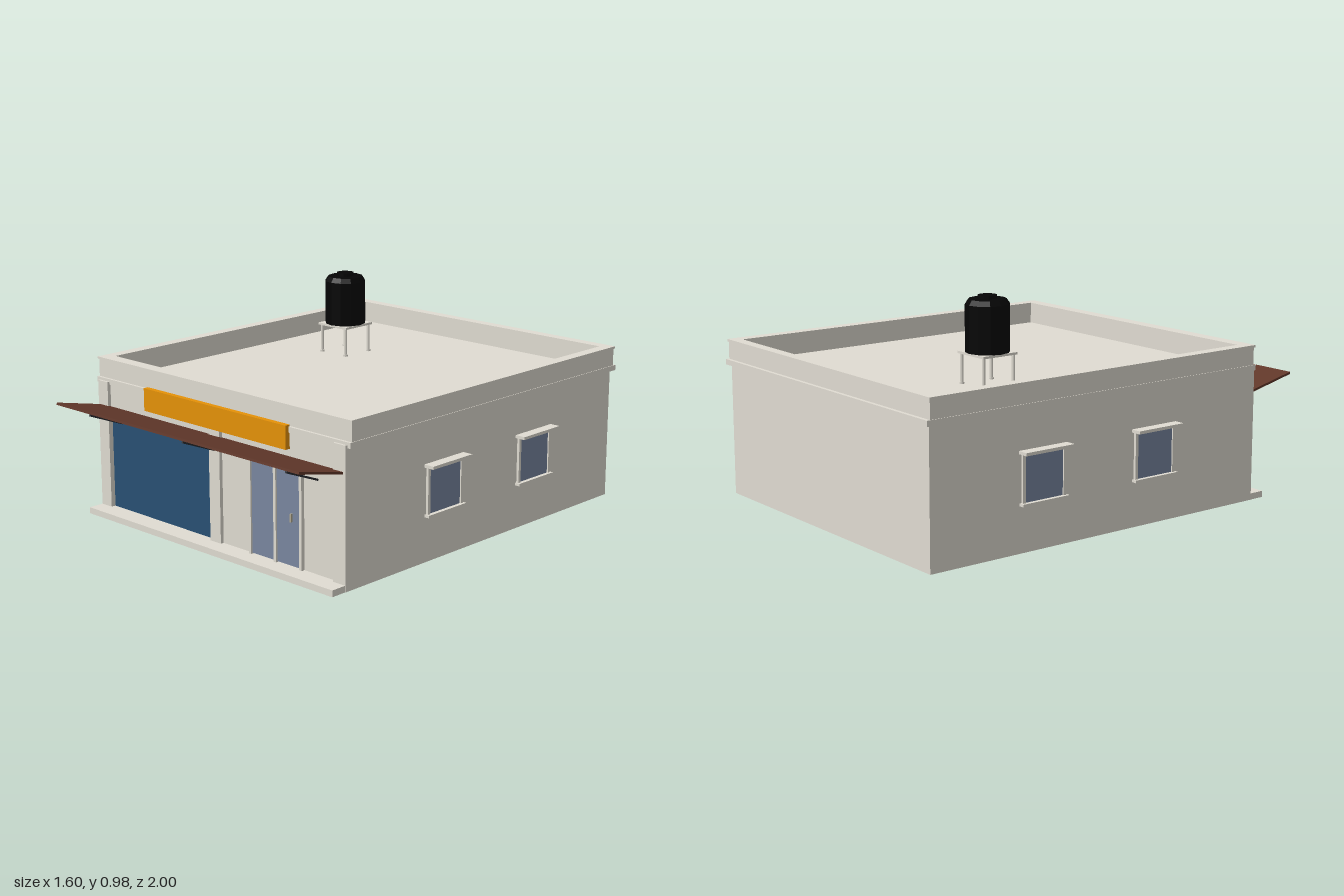
import * as THREE from 'three';

const mat = (name, color) => {
  const m = new THREE.MeshStandardMaterial({ color });
  m.name = name;
  return m;
};

export function createModel() {
  const plaster = mat('plaster', 0xe0dcd2);
  const brown = mat('awning brown', 0x62382a);
  const orange = mat('sign orange', 0xe69208);
  const blue = mat('shutter blue', 0x285073);
  const glass = mat('glass', 0x7987a0);
  const black = mat('tank black', 0x050505);
  const iron = mat('dark iron', 0x2a2c30);
  const brass = mat('handle', 0xb0a890);

  const model = new THREE.Group();
  model.name = 'shop';

  const add = (name, geometry, material, parent = model) => {
    const m = new THREE.Mesh(geometry, material);
    m.name = name;
    parent.add(m);
    return m;
  };
  // box given by its extents along each axis
  const box = (name, [x0, x1], [y0, y1], [z0, z1], material = plaster, parent = model) => {
    const m = add(name, new THREE.BoxGeometry(x1 - x0, y1 - y0, z1 - z0), material, parent);
    m.position.set((x0 + x1) / 2, (y0 + y1) / 2, (z0 + z1) / 2);
    return m;
  };
  // rectangular ring lying flat, with a rectangular hole; outline runs counter-clockwise
  const ring = (name, [x, z0, z1], [hx, hz0, hz1], [y0, y1]) => {
    const rect = (path, w, a, b) =>
      path.moveTo(-w, -b).lineTo(w, -b).lineTo(w, -a).lineTo(-w, -a).closePath();
    const shape = rect(new THREE.Shape(), x, z0, z1);
    shape.holes.push(rect(new THREE.Path(), hx, hz0, hz1));
    const g = new THREE.ExtrudeGeometry(shape, { depth: y1 - y0, bevelEnabled: false });
    g.rotateX(-Math.PI / 2).translate(0, y0, 0);
    return add(name, g, plaster);
  };
  // square bar between two points
  const bar = (name, a, b, width, thick, material) => {
    const dy = b[1] - a[1], dz = b[2] - a[2];
    const m = add(name, new THREE.BoxGeometry(width, thick, Math.hypot(dy, dz)), material);
    m.position.set(a[0], (a[1] + b[1]) / 2, (a[2] + b[2]) / 2);
    m.rotation.x = -Math.atan2(dy, dz);
    return m;
  };

  // shell: open underneath, with thin walls
  for (const s of [-1, 1]) {
    const x = [s * 0.75, s * 0.742].sort((a, b) => a - b);
    box('sideWall', x, [0, 0.6], [-0.98, 0.755]);
  }
  box('backWall', [-0.742, 0.742], [0, 0.6], [-0.98, -0.972]);
  box('roofSlab', [-0.742, 0.742], [0.585, 0.602], [-0.972, 0.735]);
  box('frontWall', [0.03, 0.685], [0.028, 0.6], [0.725, 0.742]);
  box('shutterLintel', [-0.685, -0.03], [0.48, 0.6], [0.725, 0.742]);
  box('frontSill', [-0.742, 0.742], [0, 0.028], [0.725, 0.745]);
  box('frontStep', [-0.748, 0.748], [0, 0.028], [0.745, 0.83]);
  for (const x of [-0.716, 0, 0.716])
    box('frontColumn', [x - 0.032, x + 0.032], [0.028, 0.6], [0.705, 0.758]);

  // cornice and parapet
  ring('cornice', [0.766, -1, 0.748], [0.72, -0.95, 0.69], [0.588, 0.612]);
  ring('parapet', [0.763, -0.984, 0.736], [0.716, -0.94, 0.682], [0.6, 0.69]);
  ring('parapetCap', [0.767, -0.988, 0.741], [0.716, -0.94, 0.682], [0.69, 0.7]);

  // shutter, awning with its struts, and sign board
  box('shutter', [-0.685, -0.03], [0.028, 0.48], [0.728, 0.736], blue);
  bar('awning', [0, 0.484, 0.745], [0, 0.54, 0.998], 1.472, 0.01, brown);
  for (const x of [-0.597, 0, 0.597])
    bar('awningStrut', [x, 0.43, 0.755], [x, 0.5, 0.93], 0.008, 0.008, iron);
  box('signBoard', [-0.43, 0.43], [0.52, 0.62], [0.742, 0.766], orange);

  // double glass door
  const door = new THREE.Group();
  door.name = 'door';
  model.add(door);
  for (const x of [0.209, 0.355, 0.502])
    box('doorPost', [x - 0.007, x + 0.007], [0.028, 0.468], [0.742, 0.758], plaster, door);
  box('doorHead', [0.202, 0.509], [0.455, 0.468], [0.742, 0.758], plaster, door);
  for (const [a, b] of [[0.216, 0.348], [0.362, 0.495]])
    box('doorGlass', [a, b], [0.032, 0.455], [0.742, 0.75], glass, door);
  box('doorHandle', [0.444, 0.451], [0.22, 0.255], [0.75, 0.76], brass, door);

  // side windows, two on each side
  for (const side of [1, -1]) for (const z of [0.17, -0.425]) {
    const w = new THREE.Group();
    w.name = 'window';
    model.add(w);
    box('windowGlass', [0, 0.006], [0.208, 0.402], [-0.098, 0.098], glass, w);
    for (const e of [-1, 1])
      box('windowJamb', [0, 0.012], [0.205, 0.41], [e * 0.104 - 0.007, e * 0.104 + 0.007], plaster, w);
    box('windowHead', [0, 0.012], [0.4, 0.41], [-0.11, 0.11], plaster, w);
    box('windowHood', [0, 0.048], [0.41, 0.423], [-0.123, 0.123], plaster, w);
    box('windowSill', [0, 0.024], [0.197, 0.208], [-0.119, 0.119], plaster, w);
    w.position.set(side * 0.75, 0, z);
    w.rotation.y = side > 0 ? 0 : Math.PI;
  }

  // water tank on its stand
  const tank = new THREE.Group();
  tank.name = 'waterTank';
  tank.position.set(-0.336, 0, -0.387);
  model.add(tank);
  const profile = [[0, 0.74], [0.094, 0.74], [0.094, 0.94], [0.08, 0.961],
    [0.04, 0.963], [0.04, 0.977], [0, 0.977]].map(p => new THREE.Vector2(...p));
  const body = new THREE.LatheGeometry(profile, 12).toNonIndexed();
  body.computeVertexNormals();
  add('tankBody', body, black, tank);
  box('tankPlatform', [-0.088, 0.088], [0.73, 0.74], [-0.088, 0.088], plaster, tank);
  for (const x of [-0.075, 0.075]) for (const z of [-0.077, 0.077]) {
    const leg = add('tankLeg', new THREE.CylinderGeometry(0.007, 0.007, 0.13, 8), plaster, tank);
    leg.position.set(x, 0.666, z);
    const foot = add('tankFoot', new THREE.CylinderGeometry(0.011, 0.011, 0.008, 8), plaster, tank);
    foot.position.set(x, 0.606, z);
  }
  return model;
}
